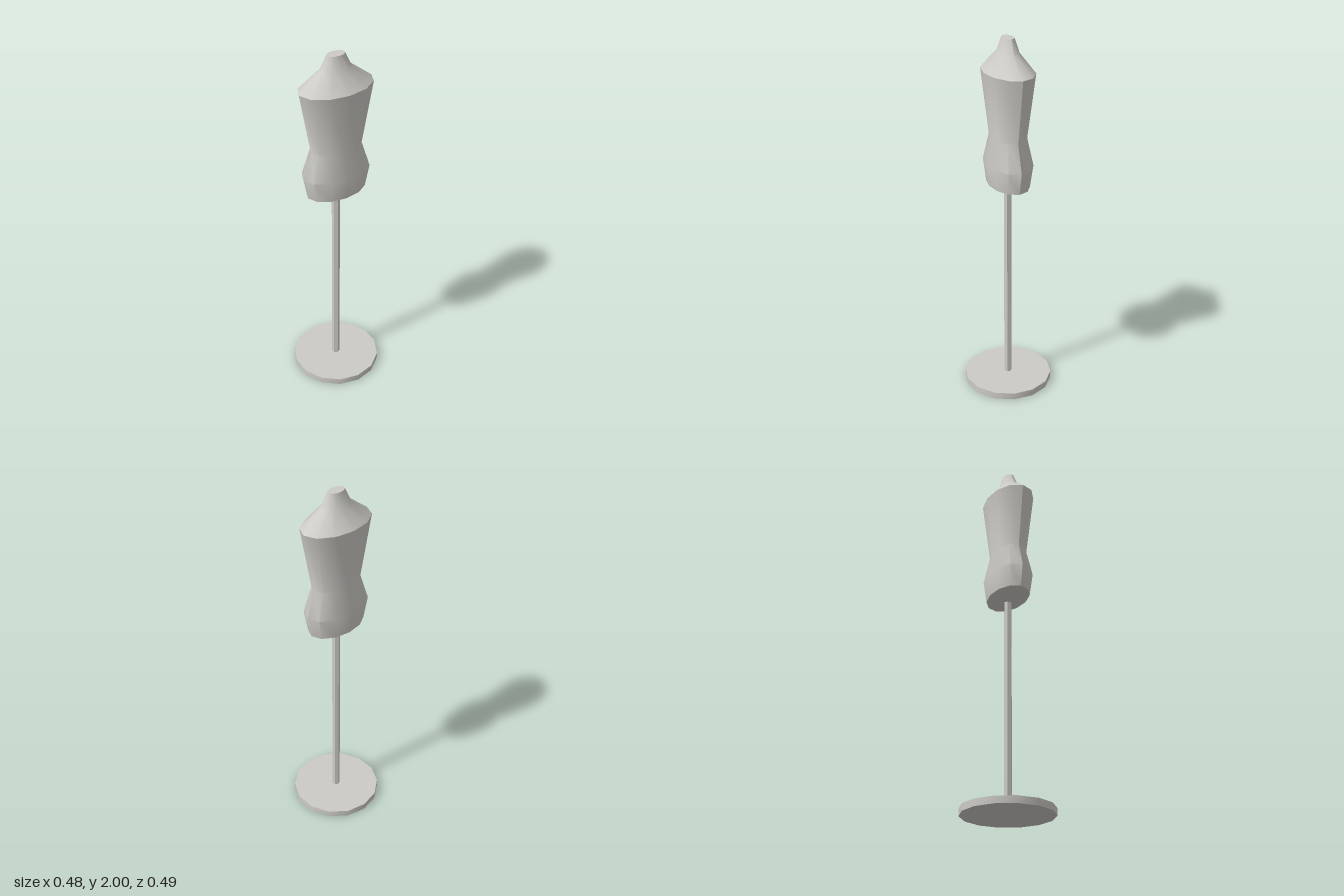
import * as THREE from 'three';
import { toCreasedNormals } from 'three/addons/utils/BufferGeometryUtils.js';

const CREASE = THREE.MathUtils.degToRad(38);

export function createModel() {
  const group = new THREE.Group();
  group.name = 'dressForm';
  const material = new THREE.MeshStandardMaterial({ color: 0xcdcbc6 });
  material.name = 'warmGrey';

  const add = (name, geometry, y = 0) => {
    const mesh = new THREE.Mesh(toCreasedNormals(geometry, CREASE), material);
    mesh.name = name;
    mesh.position.y = y;
    group.add(mesh);
  };

  // Round foot plate
  add('base', new THREE.CylinderGeometry(0.247, 0.247, 0.038, 14), 0.019);

  // Hexagonal pole, reaching up into the torso
  add('pole', new THREE.CylinderGeometry(0.022, 0.022, 1.17, 6), 0.615);

  // Torso: twelve-sided lathe flattened from front to back
  const profile = [
    [0, 1.18], // underside tip
    [0.171, 1.213], // lower edge
    [0.196, 1.335], // hips
    [0.147, 1.482], // waist
    [0.209, 1.83], // shoulders
    [0.085, 1.928], // neck base
    [0.05, 2], // neck top
    [0, 2],
  ].map(([r, y]) => new THREE.Vector2(r, y));
  add('torso', new THREE.LatheGeometry(profile, 12).scale(1, 1, 0.62));

  return group;
}
